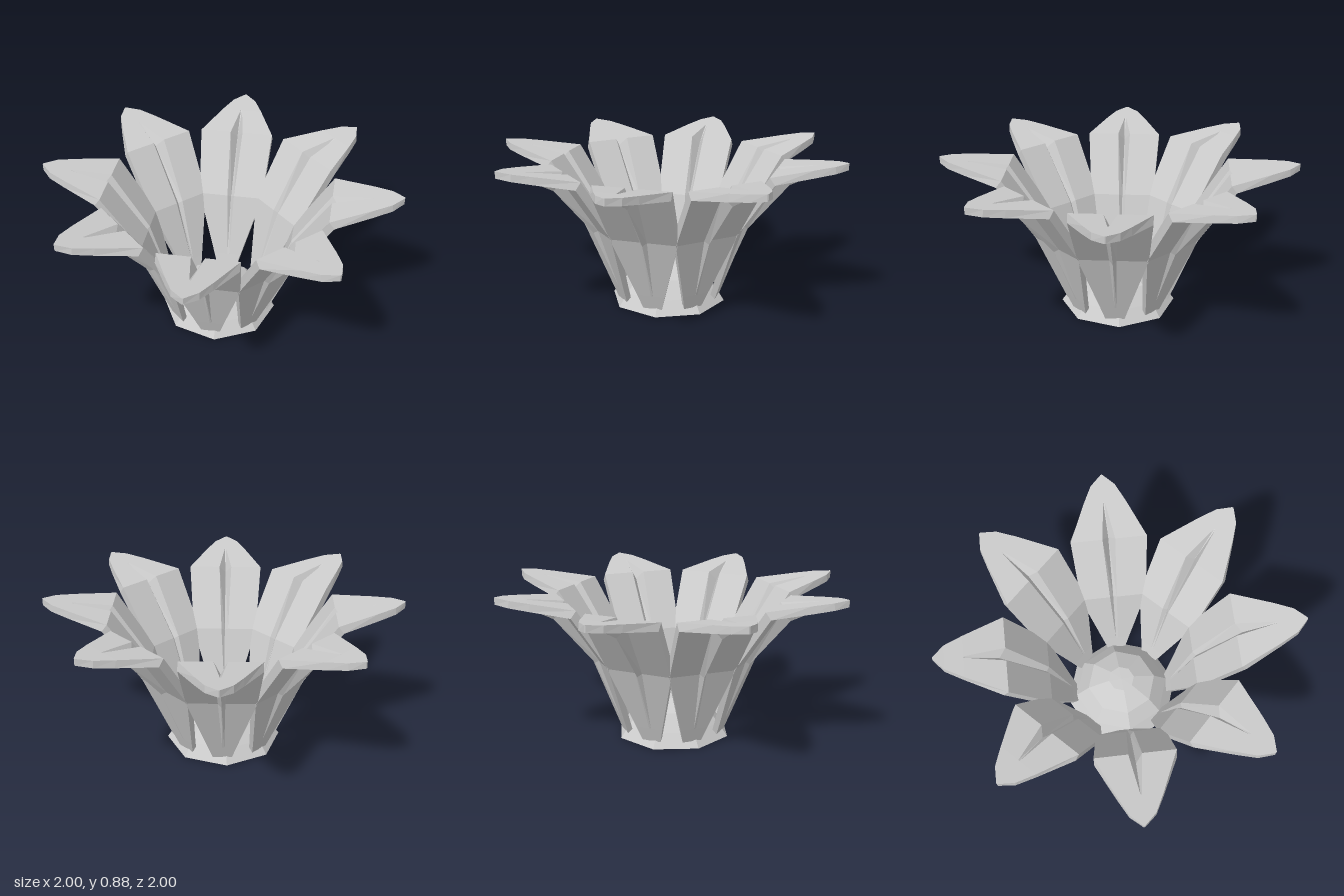
import * as THREE from 'three';

const material = new THREE.MeshStandardMaterial({ color: 0xcccccc, flatShading: true, side: THREE.DoubleSide });

// Stations from root to tip:
// [inner r, inner y, outer r, outer y, half width, rib half width, rib depth r, rib depth y]
const stations = [
  [0.27, 0.06, 0.295, 0.035, 0.055, 0.012, 0, 0],
  [0.297, 0.14, 0.325, 0.12, 0.08, 0.012, 0, 0],
  [0.41, 0.5, 0.447, 0.475, 0.19, 0.02, 0.018, -0.015],
  [0.62, 0.82, 0.65, 0.78, 0.215, 0.036, 0.04, -0.05],
  [0.84, 0.853, 0.85, 0.812, 0.118, 0.008, 0, 0],
  [0.94, 0.867, 0.945, 0.828, 0.068, 0.006, 0, 0],
  [1.002, 0.876, 1.002, 0.838, 0.004, 0.002, 0, 0],
];

// Closed ring around a petal at one station: inner face, then back along the outer face
function ring([ri, yi, ro, yo, half, rib, dr, dy]) {
  const across = [-half, -rib, 0, rib, half];
  const row = (r, y) => across.map((x, j) => (j === 2 ? [x, y + dy, r + dr] : [x, y, r]));
  return [...row(ri, yi), ...row(ro, yo).reverse()];
}

function petalGeometry() {
  const rings = stations.map(ring);
  const n = rings[0].length;
  const positions = [];
  const quad = (a, b, c, d) => positions.push(...a, ...b, ...c, ...a, ...c, ...d);

  for (let i = 0; i < rings.length - 1; i++) {
    for (let k = 0; k < n; k++) {
      const m = (k + 1) % n;
      quad(rings[i][k], rings[i + 1][k], rings[i + 1][m], rings[i][m]);
    }
  }
  // End caps
  const root = rings[0], tip = rings[rings.length - 1];
  for (let j = 0; j < 4; j++) {
    quad(root[j], root[j + 1], root[n - 2 - j], root[n - 1 - j]);
    quad(tip[n - 1 - j], tip[n - 2 - j], tip[j + 1], tip[j]);
  }
  const geometry = new THREE.BufferGeometry();
  geometry.setAttribute('position', new THREE.Float32BufferAttribute(positions, 3));
  geometry.computeVertexNormals();
  return geometry;
}

export function createModel() {
  const model = new THREE.Group();
  model.name = 'flower';

  // Faceted dome in the middle, open underneath
  const profile = [[0.33, 0], [0.275, 0.075], [0.2, 0.165], [0.075, 0.222], [0, 0.225]];
  const dome = new THREE.Mesh(
    new THREE.LatheGeometry(profile.map(([r, y]) => new THREE.Vector2(r, y)), 8),
    material
  );
  dome.name = 'centreDome';
  model.add(dome);

  // Eight ribbed petals, turned slightly off the axes
  const petals = new THREE.Group();
  petals.name = 'petals';
  const geometry = petalGeometry();
  for (let i = 0; i < 8; i++) {
    const petal = new THREE.Mesh(geometry, material);
    petal.name = `petal${i + 1}`;
    petal.rotation.y = i * Math.PI / 4 - 0.08;
    petals.add(petal);
  }
  model.add(petals);
  return model;
}
